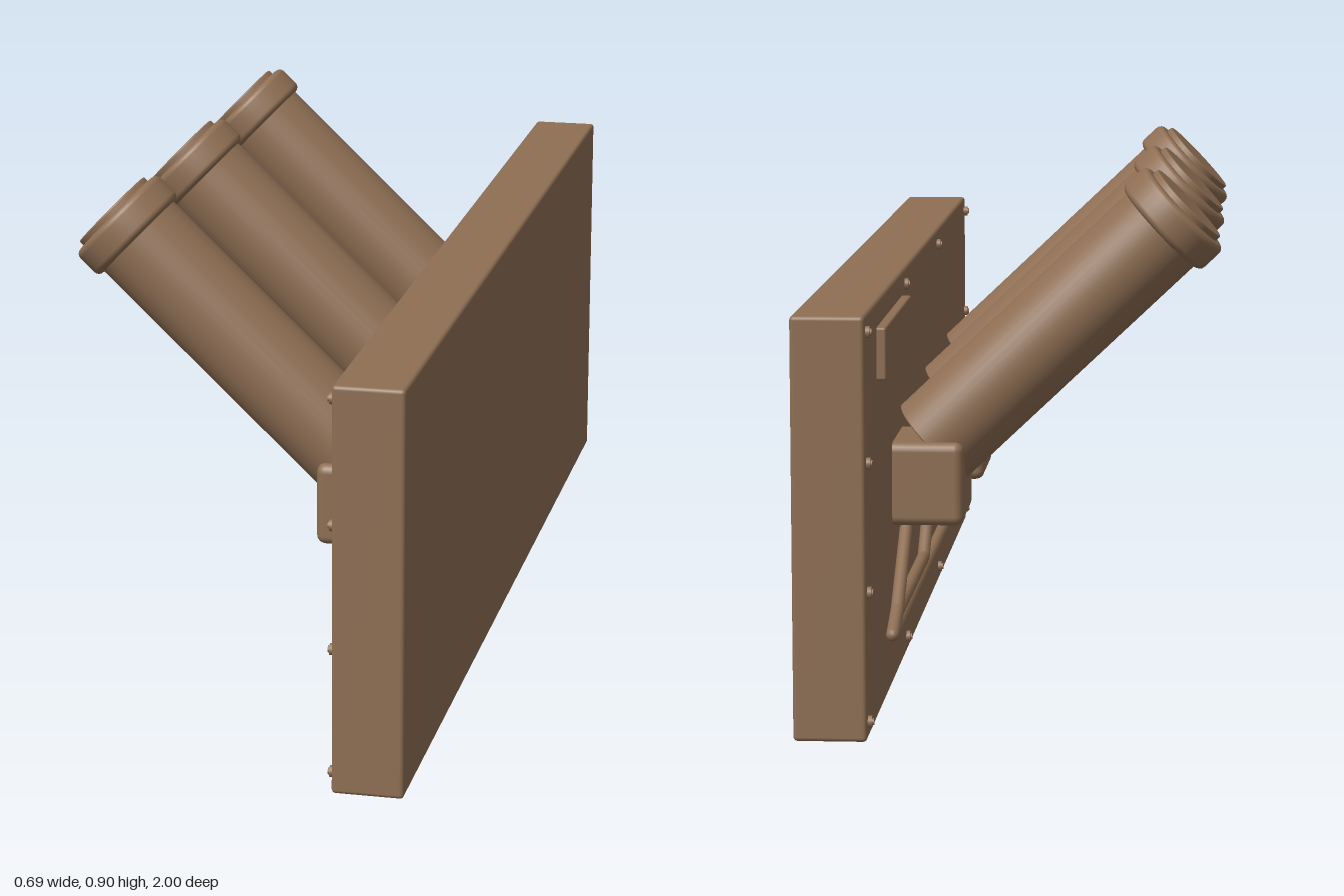
import * as THREE from 'three';
import { RoundedBoxGeometry } from 'three/addons/geometries/RoundedBoxGeometry.js';

const FACE_X = 0.228;                 // mounting face of the board
const TUBE_Z = [-0.47, 0, 0.47];

export function createModel() {
  const model = new THREE.Group();
  const brown = new THREE.MeshStandardMaterial({ color: 0x8f6f54 });
  brown.name = 'brown';

  const add = (parent, name, geometry, x = 0, y = 0, z = 0) => {
    const mesh = new THREE.Mesh(geometry, brown);
    mesh.name = name;
    mesh.position.set(x, y, z);
    parent.add(mesh);
    return mesh;
  };

  // rounded box given by its minimum and maximum corners
  const box = (name, a, b, radius) => add(model, name,
    new RoundedBoxGeometry(b[0] - a[0], b[1] - a[1], b[2] - a[2], 3, radius),
    (a[0] + b[0]) / 2, (a[1] + b[1]) / 2, (a[2] + b[2]) / 2);

  // backing board and label plate
  box('board', [FACE_X, 0, -1], [0.35, 0.705, 1], 0.007);
  box('labelPlate', [0.212, 0.573, -0.81], [0.236, 0.662, -0.37], 0.004);

  // solid cylinder with rounded rims, standing from y0 to y1
  const roundedCylinder = (radius, y0, y1, rim) => {
    const profile = [new THREE.Vector2(0, y0), new THREE.Vector2(radius - rim, y0)];
    for (const [cy, start] of [[y0 + rim, -Math.PI / 2], [y1 - rim, 0]]) {
      for (let i = 0; i <= 4; i++) {
        const a = start + (i / 4) * Math.PI / 2;
        profile.push(new THREE.Vector2(radius - rim + rim * Math.cos(a), cy + rim * Math.sin(a)));
      }
    }
    profile.push(new THREE.Vector2(0, y1));
    return new THREE.LatheGeometry(profile, 40);
  };

  // slanted tubes, each on its own bracket
  for (const z of TUBE_Z) {
    box('bracket', [0.104, 0.28, z - 0.1], [0.26, 0.427, z + 0.1], 0.016);
    const launcher = new THREE.Group();
    launcher.name = 'slantedTube';
    launcher.position.set(0.163, 0.415, z);
    launcher.rotation.z = THREE.MathUtils.degToRad(46.5);
    add(launcher, 'barrel', roundedCylinder(0.0865, 0, 0.58, 0.003));
    add(launcher, 'collar', roundedCylinder(0.1, 0.55, 0.607, 0.012));
    add(launcher, 'endDisc', roundedCylinder(0.08, 0.59, 0.618, 0.003));
    model.add(launcher);
  }

  // cables running along the board and up to the brackets, as [y, z] points
  const cables = [
    [[0.122, -0.73], [0.15, -0.65], [0.26, -0.49]],
    [[0.122, -0.73], [0.145, -0.65], [0.145, -0.16], [0.26, -0.01]],
    [[0.122, -0.73], [0.122, 0.31], [0.26, 0.46]],
  ];
  const up = new THREE.Vector3(0, 1, 0);
  for (const cable of cables) {
    const points = cable.map(([y, z]) => new THREE.Vector3(0.212, y, z));
    points.forEach((p, i) => {
      add(model, 'cableJoint', new THREE.SphereGeometry(0.0115, 12, 8), p.x, p.y, p.z);
      if (i === 0) return;
      const span = p.clone().sub(points[i - 1]);
      const piece = add(model, 'cable',
        new THREE.CylinderGeometry(0.0115, 0.0115, span.length(), 12, 1, true));
      piece.position.addVectors(p, points[i - 1]).multiplyScalar(0.5);
      piece.quaternion.setFromUnitVectors(up, span.normalize());
    });
  }

  // screws around the rim of the board
  const screw = (y, z) => {
    for (const [radius, depth] of [[0.01, 0.007], [0.006, 0.01]]) {
      const head = add(model, 'screw',
        new THREE.CylinderGeometry(radius, radius, depth, 14), FACE_X - depth / 2, y, z);
      head.rotation.z = Math.PI / 2;
    }
  };
  for (const z of [-0.975, -0.325, 0.325, 0.975]) {
    const rows = Math.abs(z) > 0.5 ? [0.03, 0.246, 0.461, 0.677] : [0.03, 0.677];
    rows.forEach((y) => screw(y, z));
  }

  return model;
}
